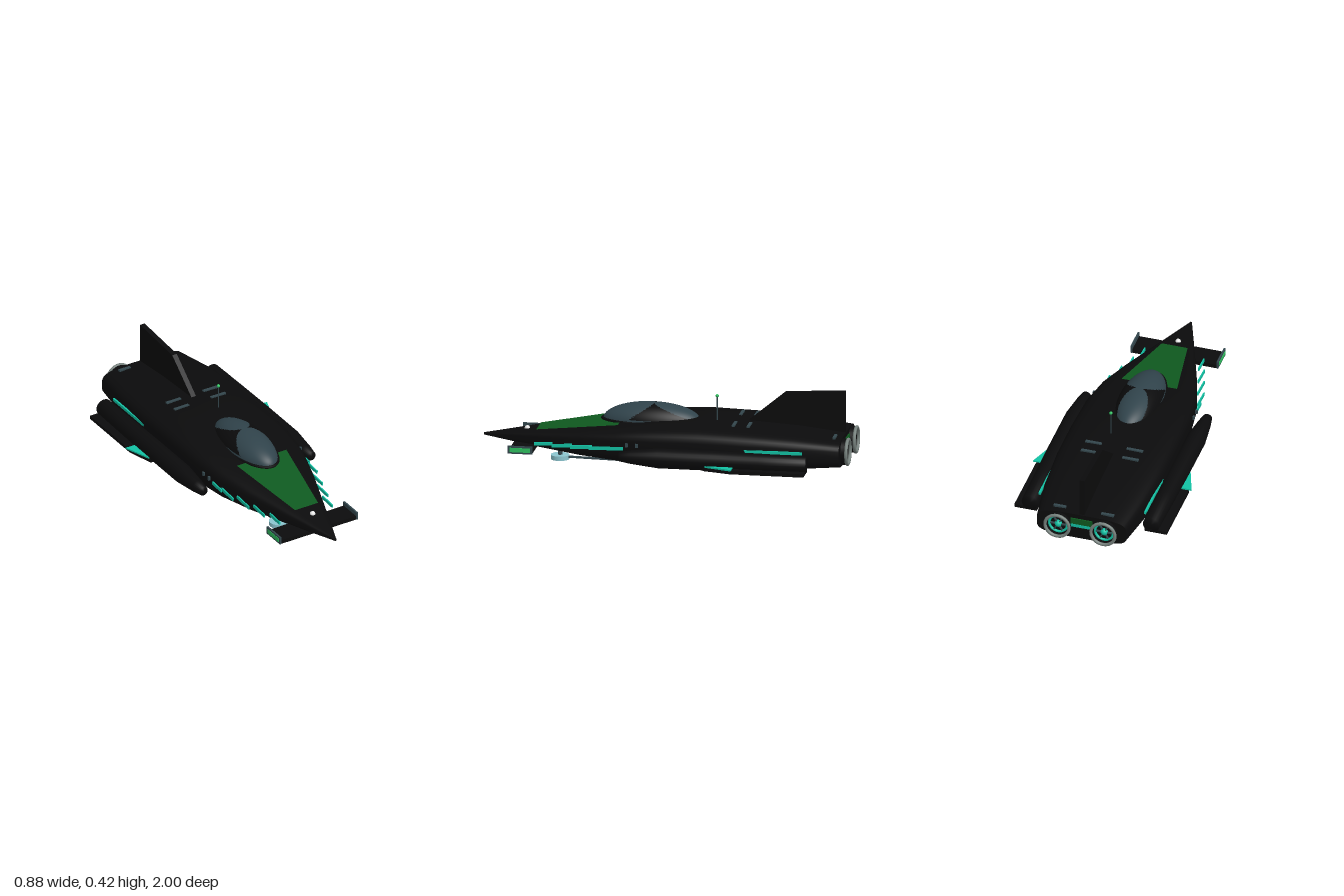
import * as THREE from 'three';

const mat = (name, color, side = THREE.FrontSide) => {
  const m = new THREE.MeshStandardMaterial({ color, side });
  m.name = name;
  return m;
};

export function createModel() {
  const black = mat('black', 0x0b0b0c, THREE.DoubleSide);
  const green = mat('hoodGreen', 0x0f5a20, THREE.DoubleSide);
  const teal = mat('teal', 0x12c2a4);
  const glass = mat('canopyGlass', 0x30434b);
  const slate = mat('slate', 0x33464c);
  const lime = mat('lightGreen', 0x2fc060);
  const white = mat('white', 0xe6e6e6);
  const pad = mat('padBlue', 0x8cc6d0);
  const steel = mat('steel', 0x75807c);

  const root = new THREE.Group();
  root.name = 'racer';
  const add = (name, geo, material, x = 0, y = 0, z = 0) => {
    const m = new THREE.Mesh(geo, material);
    m.name = name;
    m.position.set(x, y, z);
    root.add(m);
    return m;
  };
  const box = (name, w, h, d, material, x, y, z) =>
    add(name, new THREE.BoxGeometry(w, h, d), material, x, y, z);
  const cyl = (name, r1, r2, h, material, x, y, z, n = 24) =>
    add(name, new THREE.CylinderGeometry(r1, r2, h, n), material, x, y, z);

  // Hull sections, rear to front: z, half width, bottom, top
  const sections = [
    [-0.96, 0.25, 0.043, 0.195], [-0.72, 0.285, 0.027, 0.222], [-0.45, 0.3, 0.018, 0.238],
    [-0.2, 0.3, 0.015, 0.245], [0.05, 0.293, 0.018, 0.236], [0.25, 0.265, 0.025, 0.213],
    [0.45, 0.205, 0.035, 0.183], [0.7, 0.115, 0.056, 0.145], [0.85, 0.06, 0.072, 0.122],
    [1, 0.004, 0.088, 0.1],
  ];
  const N = 48;
  const pos = [], idx = [];
  const ring = ([z, w, lo, hi]) => {
    const start = pos.length / 3;
    for (let j = 0; j < N; j++) {
      const a = (j / N) * Math.PI * 2, c = Math.cos(a), s = Math.sin(a);
      pos.push(w * Math.sign(c) * Math.sqrt(Math.abs(c)),
        (lo + hi) / 2 + ((hi - lo) / 2) * Math.sign(s) * Math.sqrt(Math.abs(s)), z);
    }
    return start;
  };
  const starts = sections.map(ring);
  for (let i = 0; i + 1 < starts.length; i++) {
    for (let j = 0; j < N; j++) {
      const k = (j + 1) % N, a = starts[i], d = starts[i + 1];
      idx.push(a + j, a + k, d + k, a + j, d + k, d + j);
    }
  }
  const capRing = (section, back) => {
    const s = ring(section);
    for (let j = 1; j + 1 < N; j++) idx.push(s, s + (back ? j + 1 : j), s + (back ? j : j + 1));
  };
  capRing(sections[0], true);
  capRing(sections[sections.length - 1], false);
  const hull = new THREE.BufferGeometry();
  hull.setAttribute('position', new THREE.Float32BufferAttribute(pos, 3));
  hull.setIndex(idx);
  hull.computeVertexNormals();
  add('hull', hull, black);

  // Hood panel, a sloping plate on the nose
  const hood = new THREE.BufferGeometry();
  hood.setAttribute('position', new THREE.Float32BufferAttribute([
    -0.155, 0.216, 0.25, -0.072, 0.149, 0.705, 0.072, 0.149, 0.705, 0.155, 0.216, 0.25], 3));
  hood.setIndex([0, 1, 2, 0, 2, 3]);
  hood.computeVertexNormals();
  add('hoodPanel', hood, green);

  // Canopy dome: two glass ovals with a dark frame between them
  const dome = new THREE.SphereGeometry(1, 96, 48, 0, Math.PI * 2, 0, Math.PI / 2)
    .scale(0.118, 0.1, 0.265).translate(0, 0.21, 0.09).toNonIndexed();
  const p = dome.attributes.position;
  const inOval = (x, z, cz, rx, rz) => (x / rx) ** 2 + ((z - cz) / rz) ** 2 < 1;
  for (let i = 0; i < p.count; i += 3) {
    const mid = (f) => (p[f](i) + p[f](i + 1) + p[f](i + 2)) / 3;
    const x = mid('getX'), y = mid('getY'), z = mid('getZ');
    const clear = inOval(x, z, -0.05, 0.076, 0.13) || inOval(x, z, 0.215, 0.105, 0.14) || y < 0.232;
    dome.addGroup(i, 3, clear ? 0 : 1);
  }
  // Merge neighbouring groups of the same colour
  dome.groups = dome.groups.reduce((out, g) => {
    const last = out[out.length - 1];
    if (last && last.materialIndex === g.materialIndex) last.count += g.count;
    else out.push(g);
    return out;
  }, []);
  add('canopy', dome, [glass, black]);
  const rim = new THREE.TorusGeometry(1, 0.06, 8, 64).rotateX(Math.PI / 2).scale(0.117, 0.12, 0.262);
  add('canopyRim', rim, black, 0, 0.216, 0.09);

  // Tail fin
  const fin = new THREE.Shape([[-0.42, 0.225], [-0.63, 0.4], [-0.955, 0.42], [-0.955, 0.18]]
    .map(([z, y]) => new THREE.Vector2(z, y)));
  add('tailFin', new THREE.ExtrudeGeometry(fin, { depth: 0.028, bevelEnabled: false })
    .translate(0, 0, -0.014).rotateY(-Math.PI / 2), black);

  // Antenna and nose lamp
  cyl('antennaMast', 0.003, 0.003, 0.14, slate, 0.052, 0.305, -0.27, 8);
  add('antennaTip', new THREE.SphereGeometry(0.009, 16, 12), lime, 0.052, 0.376, -0.27);
  add('noseLamp', new THREE.SphereGeometry(0.015, 16, 12), white, 0, 0.135, 0.765);

  // Front wing and rear light bar
  box('frontWing', 0.47, 0.022, 0.125, black, 0, 0.065, 0.763);
  box('rearLightBar', 0.12, 0.018, 0.008, teal, 0, 0.125, -0.963);
  box('rearPanel', 0.12, 0.034, 0.008, green, 0, 0.152, -0.963);

  // Glowing side strips: x, y, z centre, length
  const strips = [[0.165, 0.097, 0.65, 0.1], [0.198, 0.101, 0.545, 0.11], [0.23, 0.107, 0.435, 0.12],
    [0.263, 0.114, 0.33, 0.115], [0.275, 0.119, 0.245, 0.09]];
  // Pod profile: radius, length coordinate
  const podProfile = [[0, -0.8], [0.046, -0.8], [0.05, -0.55], [0.053, -0.3], [0.053, 0],
    [0.036, 0.15], [0.025, 0.21], [0, 0.212]].map(([r, y]) => new THREE.Vector2(r, y));
  const plate = (name, pts, t, material, y) => {
    const shape = new THREE.Shape(pts.map(([x, z]) => new THREE.Vector2(x, -z)));
    add(name, new THREE.ExtrudeGeometry(shape, { depth: t, bevelEnabled: false }).rotateX(-Math.PI / 2),
      material, 0, y, 0);
  };

  for (const s of [1, -1]) {
    // Wing end plates with lamps
    box('wingEndPlate', 0.01, 0.042, 0.135, slate, s * 0.24, 0.077, 0.763);
    box('wingEndLamp', 0.003, 0.024, 0.112, lime, s * 0.2455, 0.077, 0.763);

    for (const [x, y, z, len] of strips) {
      const strip = box('sideStrip', 0.007, 0.018, len, teal, s * x, y, z);
      strip.rotation.x = 0.05;
    }
    box('podGapStrip', 0.01, 0.016, 0.56, teal, s * 0.294, 0.142, -0.49);
    for (const z of [0.18, 0.125, 0.02]) box('sideVent', 0.012, 0.02, 0.014, slate, s * 0.286, 0.143, z);

    // Side pod with its skirt and winglet
    add('sidePod', new THREE.LatheGeometry(podProfile, 24).rotateX(Math.PI / 2), black, s * 0.338, 0.094, 0);
    plate('podSkirt', [[0.3, -0.8], [0.425, -0.8], [0.425, -0.4], [0.385, -0.25], [0.3, -0.25]]
      .map(([x, z]) => [s * x, z]), 0.018, black, 0.048);
    plate('winglet', [[0.37, -0.41], [0.442, -0.41], [0.39, -0.26], [0.37, -0.26]]
      .map(([x, z]) => [s * x, z]), 0.008, teal, 0.068);

    // Deck vents
    for (const [z, y, x, w] of [[-0.455, 0.238, 0.115, 0.09], [-0.375, 0.24, 0.115, 0.09], [-0.92, 0.2, 0.133, 0.07]])
      box('deckVent', w, 0.012, 0.016, slate, s * x, y, z);

    // Engine nozzle: open tube, steel lip, glowing ring and core
    const ex = s * 0.128, ey = 0.12;
    add('nozzle', new THREE.CylinderGeometry(0.07, 0.07, 0.09, 32, 1, true).rotateX(Math.PI / 2),
      black, ex, ey, -0.95);
    add('nozzleLip', new THREE.TorusGeometry(0.067, 0.009, 10, 36), steel, ex, ey, -0.99);
    add('nozzleRing', new THREE.TorusGeometry(0.05, 0.007, 8, 32), teal, ex, ey, -0.968);
    add('nozzleCore', new THREE.SphereGeometry(0.02, 16, 12), teal, ex, ey, -0.965);
    for (let i = 0; i < 3; i++)
      box('nozzleVane', 0.09, 0.006, 0.012, slate, ex, ey, -0.968).rotation.z = (i * Math.PI) / 3;

    // Hover pads joined by a rod
    cyl('frontPad', 0.05, 0.05, 0.024, pad, s * 0.095, 0.012, 0.572, 16);
    cyl('rearPad', 0.068, 0.068, 0.022, pad, s * 0.165, 0.011, -0.562, 16);
    const rod = box('padRod', 0.018, 0.008, 1.136, slate, s * 0.13, 0.014, 0.005);
    rod.rotation.y = -s * Math.atan2(0.07, 1.134);
  }
  // Short struts up to the hull at the front pads
  for (const s of [1, -1]) cyl('padStrut', 0.012, 0.012, 0.04, slate, s * 0.095, 0.04, 0.572, 10);

  return root;
}
